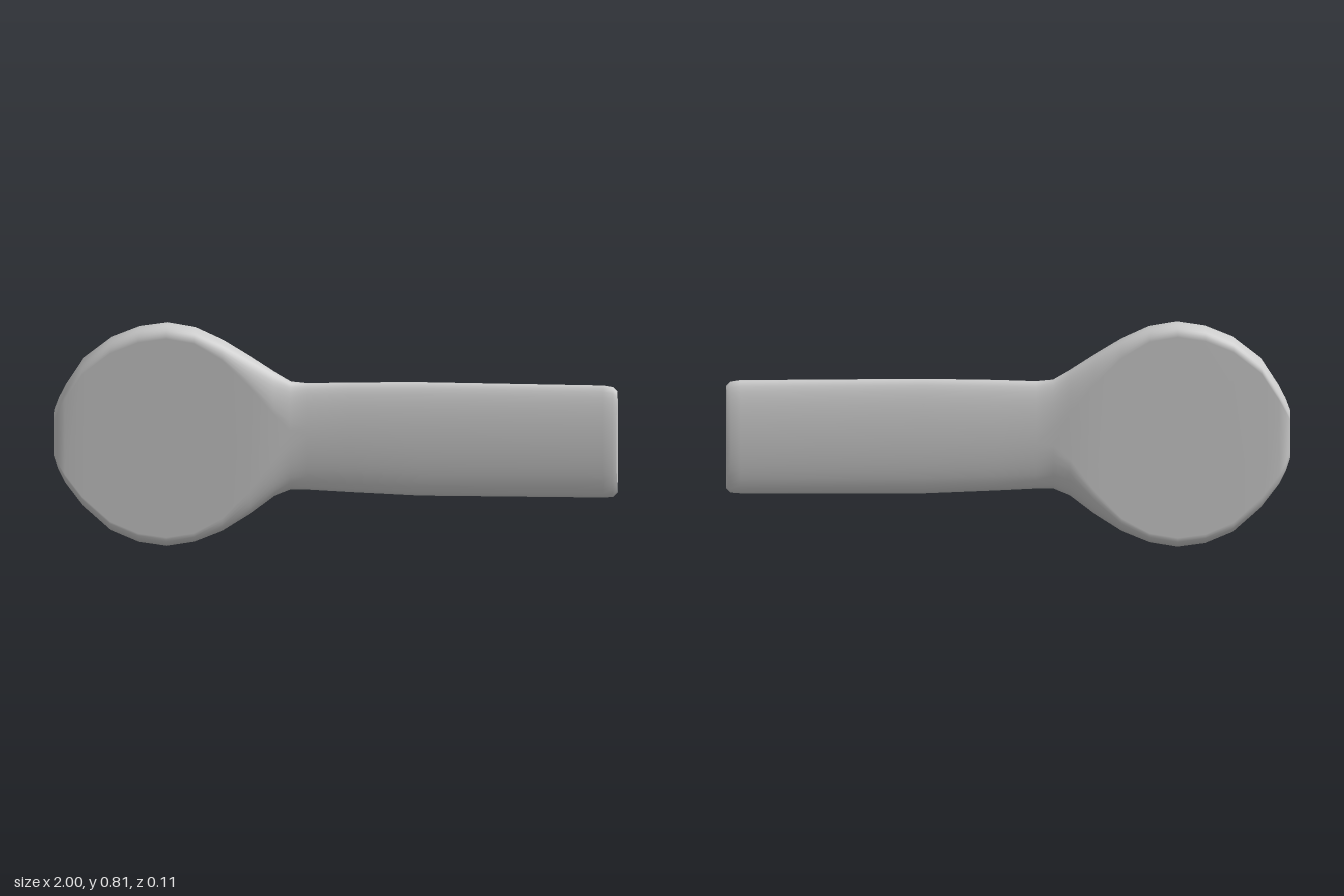
import * as THREE from 'three';

// Cross-sections along x: [x, bottom y, top y, half depth, corner radius, roundness]
// roundness 0 = slab with rounded corners, 1 = full ellipse
const SECTIONS = [
  [-1.0, 0.32, 0.49, 0.036, 0.03, 0],
  [-0.985, 0.275, 0.53, 0.049, 0.036, 0],
  [-0.96, 0.225, 0.58, 0.054, 0.04, 0],
  [-0.9, 0.145, 0.675, 0.055, 0.04, 0],
  [-0.8, 0.055, 0.755, 0.055, 0.04, 0],
  [-0.7, 0.013, 0.797, 0.055, 0.04, 0],
  [-0.6, 0.0, 0.813, 0.055, 0.04, 0],
  [-0.5, 0.018, 0.797, 0.055, 0.04, 0],
  [-0.4, 0.06, 0.752, 0.055, 0.04, 0.05],
  [-0.3, 0.125, 0.693, 0.055, 0.04, 0.25],
  [-0.22, 0.187, 0.643, 0.051, 0.04, 0.6],
  [-0.16, 0.212, 0.609, 0.046, 0.038, 0.9],
  [-0.1, 0.212, 0.604, 0.043, 0.036, 1],
  [0.05, 0.206, 0.61, 0.043, 0.036, 1],
  [0.3, 0.198, 0.616, 0.043, 0.036, 1],
  [0.95, 0.204, 0.617, 0.043, 0.036, 1],
  [0.985, 0.207, 0.612, 0.042, 0.036, 1],
  [1.0, 0.222, 0.597, 0.036, 0.03, 1],
];
const ARC = 9; // points per corner
const RING = ARC * 4;

// One closed ring, blended between a rounded slab and an ellipse
function ring([x, y0, y1, d, r, round]) {
  const h = (y1 - y0) / 2, mid = (y0 + y1) / 2, points = [];
  for (let j = 0; j < RING; j++) {
    const k = Math.floor(j / ARC);
    const a = (k + (j % ARC) / (ARC - 1)) * Math.PI / 2;
    const sy = k === 0 || k === 3 ? 1 : -1, sz = k < 2 ? 1 : -1;
    const e = (j + 0.5) / RING * Math.PI * 2;
    const y = THREE.MathUtils.lerp(sy * (h - r) + r * Math.cos(a), h * Math.cos(e), round);
    const z = THREE.MathUtils.lerp(sz * (d - r) + r * Math.sin(a), d * Math.sin(e), round);
    points.push([x, mid + y, z]);
  }
  return points;
}

function loft(sections) {
  const position = [], index = [];
  const rings = sections.map(ring);
  rings.forEach((points) => points.forEach((p) => position.push(...p)));
  for (let i = 0; i < rings.length - 1; i++) {
    for (let j = 0; j < RING; j++) {
      const n = (j + 1) % RING, a = i * RING, b = a + RING;
      index.push(a + j, a + n, b + j, b + j, a + n, b + n);
    }
  }
  // End caps with their own vertices, so their edges stay sharp
  for (const [s, points, flip] of [[sections[0], rings[0], true], [sections.at(-1), rings.at(-1), false]]) {
    const c = position.length / 3;
    position.push(s[0], (s[1] + s[2]) / 2, 0);
    points.forEach((p) => position.push(...p));
    for (let j = 0; j < RING; j++) {
      const p = c + 1 + j, n = c + 1 + (j + 1) % RING;
      index.push(c, flip ? n : p, flip ? p : n);
    }
  }
  const geometry = new THREE.BufferGeometry();
  geometry.setAttribute('position', new THREE.Float32BufferAttribute(position, 3));
  geometry.setIndex(index);
  geometry.computeVertexNormals();
  return geometry;
}

export function createModel() {
  const group = new THREE.Group();
  group.name = 'paddle';
  // Flat round head flowing into an oval handle
  const body = new THREE.Mesh(loft(SECTIONS), new THREE.MeshStandardMaterial({ color: 0xcccccc }));
  body.name = 'headAndHandle';
  group.add(body);
  return group;
}
